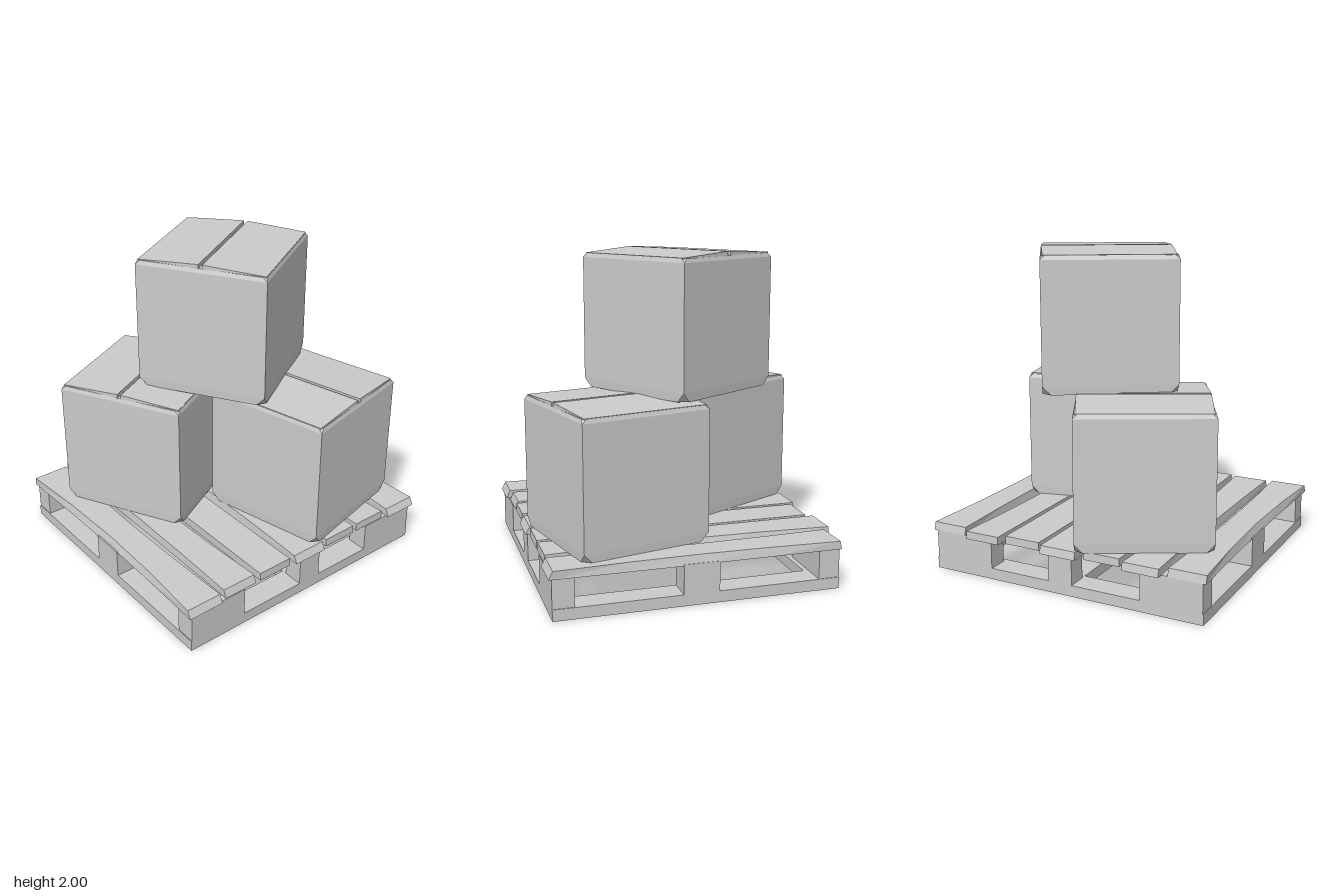
import * as THREE from 'three';
import { ConvexGeometry } from 'three/addons/geometries/ConvexGeometry.js';

const material = new THREE.MeshStandardMaterial({ color: 0xcccccc, flatShading: true });

function add(parent, name, geometry) {
  const mesh = new THREE.Mesh(geometry, material);
  mesh.name = name;
  parent.add(mesh);
  return mesh;
}

// Axis-aligned block given by its limits
function block(parent, name, x0, x1, y0, y1, z0, z1) {
  add(parent, name, new THREE.BoxGeometry(x1 - x0, y1 - y0, z1 - z0))
    .position.set((x0 + x1) / 2, (y0 + y1) / 2, (z0 + z1) / 2);
}

// Worn deck slat: waisted sides, slanted front end, slight sag
function slat(parent, x0, x1, z0, z1, nickLeft, nickRight, slant) {
  const geo = new THREE.BoxGeometry(x1 - x0, 0.05, z1 - z0, 1, 1, 4);
  const p = geo.attributes.position;
  for (let i = 0; i < p.count; i++) {
    const t = p.getZ(i) / (z1 - z0) + 0.5;
    const top = p.getY(i) > 0;
    const bend = Math.sin(Math.PI * t) * (top ? 1 : 0.55);
    p.setX(i, p.getX(i) + (p.getX(i) < 0 ? nickLeft : -nickRight) * bend);
    if (!top) p.setY(i, p.getY(i) - 0.008 * Math.sin(Math.PI * t));
    if (top && t > 0.99) p.setZ(i, p.getZ(i) - slant);
    if (top && t < 0.01) p.setZ(i, p.getZ(i) + slant * 0.4);
  }
  geo.computeVertexNormals();
  add(parent, 'deckSlat', geo).position.set((x0 + x1) / 2, 0.277, (z0 + z1) / 2);
}

// Points of a square ring with its corners cut by c
function ring(h, y, c) {
  const pts = [];
  for (const sx of [-1, 1]) for (const sz of [-1, 1]) {
    pts.push(new THREE.Vector3(sx * (h - c), y, sz * h));
    if (c > 0) pts.push(new THREE.Vector3(sx * h, y, sz * (h - c)));
  }
  return pts;
}

// Carton with dented corners and two raised lid flaps
function carton(name, x, y, z, angle) {
  const g = new THREE.Group();
  g.name = name;
  const h = 0.411;
  add(g, 'cartonBody', new ConvexGeometry([
    ...ring(h - 0.003, 0, 0.05), ...ring(h, 0.055, 0),
    ...ring(h, 0.805, 0), ...ring(h - 0.008, 0.83, 0.02),
  ]));
  for (const s of [-1, 1]) {
    const pts = [];
    for (const fz of [-1, 1]) {
      for (const [px, py, pz] of [
        [0.40, 0.82, 0.395], [0.40, 0.833, 0.395],
        [0.012, 0.82, 0.405], [0.012, 0.855, 0.405],
      ]) pts.push(new THREE.Vector3(s * px, py, fz * pz));
    }
    add(g, 'lidFlap', new ConvexGeometry(pts));
  }
  g.position.set(x, y, z);
  g.rotation.y = angle;
  return g;
}

export function createModel() {
  const model = new THREE.Group();
  const pallet = new THREE.Group();
  pallet.name = 'pallet';
  model.add(pallet);

  // Bottom frame
  block(pallet, 'backRunner', -0.91, 0.905, 0, 0.07, -0.86, -0.70);
  block(pallet, 'frontRunner', -0.91, 0.905, 0, 0.07, 0.73, 0.89);
  for (const [x0, x1] of [[-0.91, -0.75], [-0.065, 0.095], [0.745, 0.905]]) {
    block(pallet, 'lengthRunner', x0, x1, 0, 0.07, -0.70, 0.73);
    block(pallet, 'middleBlock', x0, x1, 0.07, 0.253, -0.10, 0.12);
  }

  // Spacer blocks along the front and back edges
  for (const [z0, z1] of [[-0.86, -0.73], [0.76, 0.89]]) {
    for (const [x0, x1] of [[-0.905, -0.51], [-0.065, 0.095], [0.50, 0.90]]) {
      block(pallet, 'spacerBlock', x0, x1, 0.07, 0.253, z0, z1);
    }
  }

  // Deck slats: x limits, z limits, waist on each side, end slant
  for (const s of [
    [-0.925, -0.69, -0.865, 0.905, 0.04, 0.02, 0.025],
    [-0.65, -0.42, -0.905, 0.885, 0.015, 0.03, 0.02],
    [-0.385, -0.15, -0.865, 0.885, 0, 0, 0.003],
    [-0.11, 0.125, -0.905, 0.905, 0.02, 0, 0.025],
    [0.155, 0.39, -0.865, 0.885, 0, 0, 0.003],
    [0.42, 0.65, -0.905, 0.885, 0, 0.035, 0.003],
    [0.69, 0.92, -0.865, 0.91, 0.025, 0.03, 0.025],
  ]) slat(pallet, ...s);

  // Stacked cartons
  model.add(carton('backCarton', -0.29, 0.30, -0.36, -1.093));
  model.add(carton('frontCarton', 0.373, 0.30, 0.388, 0.229));
  model.add(carton('topCarton', 0.105, 1.145, -0.085, -1.024));
  return model;
}
